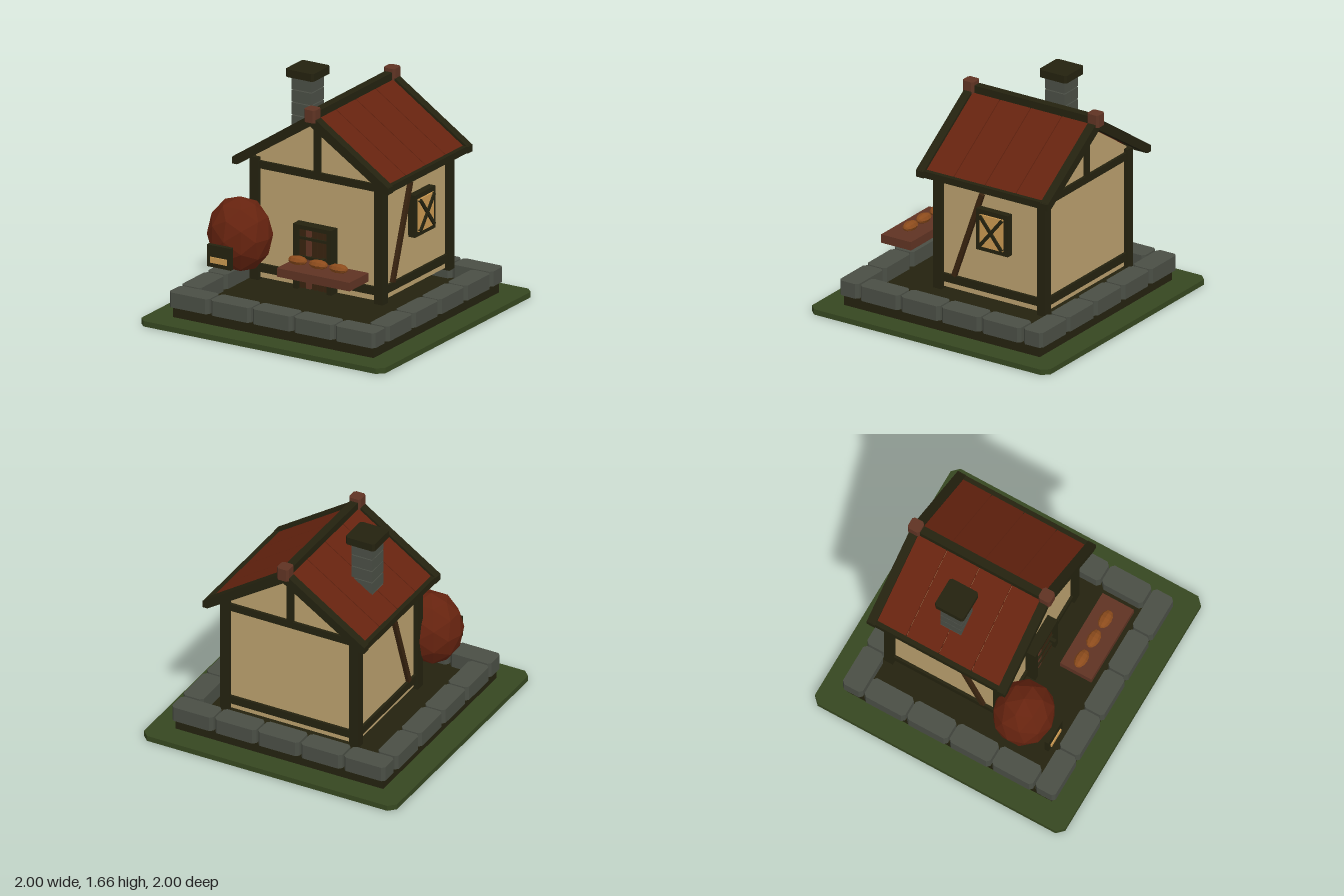
import * as THREE from 'three';

const mat = (name, color) => {
  const m = new THREE.MeshStandardMaterial({ color });
  m.name = name;
  m.flatShading = true;
  return m;
};

export function createModel() {
  const root = new THREE.Group();
  root.name = 'cottageBakery';
  const grass = mat('grass', 0x364720), timber = mat('darkTimber', 0x24220f);
  const stone = mat('stone', 0x4a4e45), plaster = mat('plaster', 0xb99f6d);
  const red = mat('redClay', 0x66230f), brown = mat('brownWood', 0x5f3323);
  const darkWood = mat('darkBrownWood', 0x38230f), glow = mat('glow', 0xca9850);
  const bread = mat('breadCrust', 0x8c4b1c);

  const add = (name, geo, m, parent = root) => {
    const mesh = new THREE.Mesh(geo, m);
    mesh.name = name;
    parent.add(mesh);
    return mesh;
  };
  const group = (name) => {
    const g = new THREE.Group();
    g.name = name;
    root.add(g);
    return g;
  };
  // Box given by its extents on each axis
  const box = (name, m, x0, x1, y0, y1, z0, z1, parent) => {
    const b = add(name, new THREE.BoxGeometry(x1 - x0, y1 - y0, z1 - z0), m, parent);
    b.position.set((x0 + x1) / 2, (y0 + y1) / 2, (z0 + z1) / 2);
    return b;
  };
  // Upright slab with cut vertical corners
  const slab = (name, m, x0, x1, y0, y1, z0, z1, c, parent) => {
    const w = (x1 - x0) / 2, d = (z1 - z0) / 2;
    const s = new THREE.Shape([[w, d - c], [w - c, d], [c - w, d], [-w, d - c], [-w, c - d], [c - w, -d], [w - c, -d], [w, c - d]]
      .map(p => new THREE.Vector2(...p)));
    const geo = new THREE.ExtrudeGeometry(s, { depth: y1 - y0, bevelEnabled: false }).rotateX(-Math.PI / 2);
    const mesh = add(name, geo, m, parent);
    mesh.position.set((x0 + x1) / 2, y0, (z0 + z1) / 2);
    return mesh;
  };
  // Symmetric outline in x/y, listed for the +x half, extruded from z0 to z1
  const profile = (name, m, half, z0, z1, parent) => {
    const left = half.filter(p => p[0] > 0).map(([x, y]) => [-x, y]);
    const first = half[0], last = half[half.length - 1];
    const pts = [first, ...half.slice(1, -1), last, ...left.reverse()];
    const s = new THREE.Shape(pts.map(p => new THREE.Vector2(...p)));
    const geo = new THREE.ExtrudeGeometry(s, { depth: z1 - z0, bevelEnabled: false }).translate(0, 0, z0);
    return add(name, geo, m, parent);
  };

  // Ground and foundation
  slab('ground', grass, -1, 1, 0, 0.04, -1, 1, 0.05);
  box('foundation', timber, -0.82, 0.82, 0.04, 0.12, -0.82, 0.82);

  // Ring of kerb stones
  const kerb = group('kerbStones');
  for (const s of [-1, 1]) {
    const a = s > 0 ? 0.69 : -0.85, b = s > 0 ? 0.85 : -0.69;
    for (let i = -2; i <= 2; i++)
      slab('kerbStone', stone, i * 0.34 - 0.163, i * 0.34 + 0.163, 0.12, 0.23, a, b, 0.022, kerb);
    for (let i = -1.5; i <= 1.5; i++)
      slab('kerbStone', stone, a, b, 0.12, 0.23, i * 0.34 - 0.163, i * 0.34 + 0.163, 0.022, kerb);
  }

  // Plastered walls with gables
  profile('walls', plaster, [[0, 1.46], [0.51, 1.12], [0.51, 0.225], [0, 0.225]], -0.65, 0.23);

  // Timber frame
  const frame = group('timberFrame');
  for (const s of [-1, 1]) {
    const px = s > 0 ? 0.475 : -0.545;
    for (const z of [-0.68, 0.19])
      box('cornerPost', timber, px, px + 0.07, 0.21, 1.11, z, z + 0.07, frame);
    const z0 = s > 0 ? 0.21 : -0.67;
    const x0 = s > 0 ? 0.49 : -0.53;
    for (const [y0, y1] of [[0.27, 0.33], [1.03, 1.085]]) {
      box('crossBeam', timber, -0.5, 0.5, y0, y1, z0, z0 + 0.04, frame);
      box('sideBeam', timber, x0, x0 + 0.04, y0, y1, -0.65, 0.22, frame);
    }
    box('kingPost', timber, -0.026, 0.026, 1.08, 1.47, z0, z0 + 0.04, frame);
    // Slanted brace on each side wall
    const brace = add('brace', new THREE.BoxGeometry(0.035, 0.71, 0.035), darkWood, frame);
    brace.position.set(s * 0.52, 0.665, -0.02);
    brace.rotation.x = -0.335;
  }

  // Roof: clay panels, end rafters, eaves and ridge
  const roof = group('roof');
  for (let i = 0; i < 4; i++) {
    const z = 0.305 - i * 0.26;
    profile('roofPanel', red, [[0, 1.515], [0.605, 1.112], [0.605, 1.08], [0, 1.483]], z - 0.254, z, roof);
  }
  for (const [z0, z1] of [[0.275, 0.34], [-0.765, -0.7]])
    profile('endRafters', timber, [[0, 1.535], [0.64, 1.11], [0.64, 1.062], [0.6, 1.062], [0, 1.45]], z0, z1, roof);
  for (const s of [-1, 1])
    box('eaveBeam', timber, s > 0 ? 0.59 : -0.635, s > 0 ? 0.635 : -0.59, 1.065, 1.115, -0.76, 0.335, roof);
  box('ridgeBeam', timber, -0.03, 0.03, 1.48, 1.55, -0.76, 0.34, roof);
  for (const z of [-0.783, 0.262])
    slab('ridgeBlock', brown, -0.046, 0.046, 1.482, 1.575, z, z + 0.095, 0.015, roof);

  // Chimney of stacked blocks with a cap
  const chimney = group('chimney');
  for (let row = 0; row < 5; row++)
    for (const x of [-0.401, -0.319])
      for (const z of [-0.246, -0.164]) {
        const y = 1.138 + row * 0.093;
        box('chimneyBlock', stone, x - 0.0405, x + 0.0405, y, y + 0.086, z - 0.0405, z + 0.0405, chimney);
      }
  slab('chimneyCap', timber, -0.475, -0.245, 1.603, 1.66, -0.32, -0.09, 0.016, chimney);

  // Front door with planks and bands
  const door = group('door');
  box('doorBacking', timber, -0.13, 0.13, 0.23, 0.68, 0.22, 0.265, door);
  box('doorLintel', timber, -0.16, 0.155, 0.67, 0.7, 0.22, 0.31, door);
  for (const x of [-0.16, 0.118]) box('doorJamb', timber, x, x + 0.037, 0.225, 0.68, 0.22, 0.31, door);
  for (let i = 0; i < 5; i++) {
    const x = -0.1 + i * 0.05;
    box('doorPlank', i === 1 ? brown : darkWood, x - 0.019, x + 0.019, 0.23, 0.668, 0.24, 0.285, door);
  }
  for (const y of [0.32, 0.45, 0.59]) box('doorBand', timber, -0.12, 0.12, y, y + 0.02, 0.26, 0.295, door);
  box('doorHandle', timber, 0.07, 0.095, 0.44, 0.48, 0.28, 0.335, door);

  // Side window with crossed bars
  const win = group('sideWindow');
  box('windowBacking', timber, 0.5, 0.555, 0.61, 0.9, -0.375, -0.13, win);
  for (const y of [0.6, 0.875]) box('windowRail', timber, 0.52, 0.572, y, y + 0.035, -0.385, -0.12, win);
  for (const z of [-0.385, -0.155]) box('windowStile', timber, 0.52, 0.572, 0.6, 0.91, z, z + 0.035, win);
  box('windowPane', glow, 0.55, 0.585, 0.635, 0.875, -0.35, -0.155, win);
  for (const s of [-1, 1]) {
    const bar = add('windowBar', new THREE.BoxGeometry(0.02, 0.295, 0.024), timber, win);
    bar.position.set(0.588, 0.755, -0.2525);
    bar.rotation.x = s * 0.68;
  }

  // Counter with loaves
  box('counter', brown, -0.05, 0.545, 0.442, 0.505, 0.445, 0.695);
  for (const x of [0.04, 0.21, 0.375]) {
    const loaf = add('loaf', new THREE.SphereGeometry(1, 8, 6).rotateZ(Math.PI / 2), bread);
    loaf.scale.set(0.073, 0.034, 0.045);
    loaf.position.set(x, 0.541, 0.565);
  }

  // Domed clay oven with its hatch
  const oven = group('oven');
  const dome = add('ovenDome', new THREE.IcosahedronGeometry(1, 1), red, oven);
  dome.scale.set(0.235, 0.275, 0.22);
  dome.position.set(-0.52, 0.592, 0.425);
  box('ovenHatch', timber, -0.63, -0.435, 0.41, 0.57, 0.65, 0.683, oven);
  box('ovenEmbers', glow, -0.6, -0.465, 0.443, 0.485, 0.683, 0.692, oven);

  return root;
}
